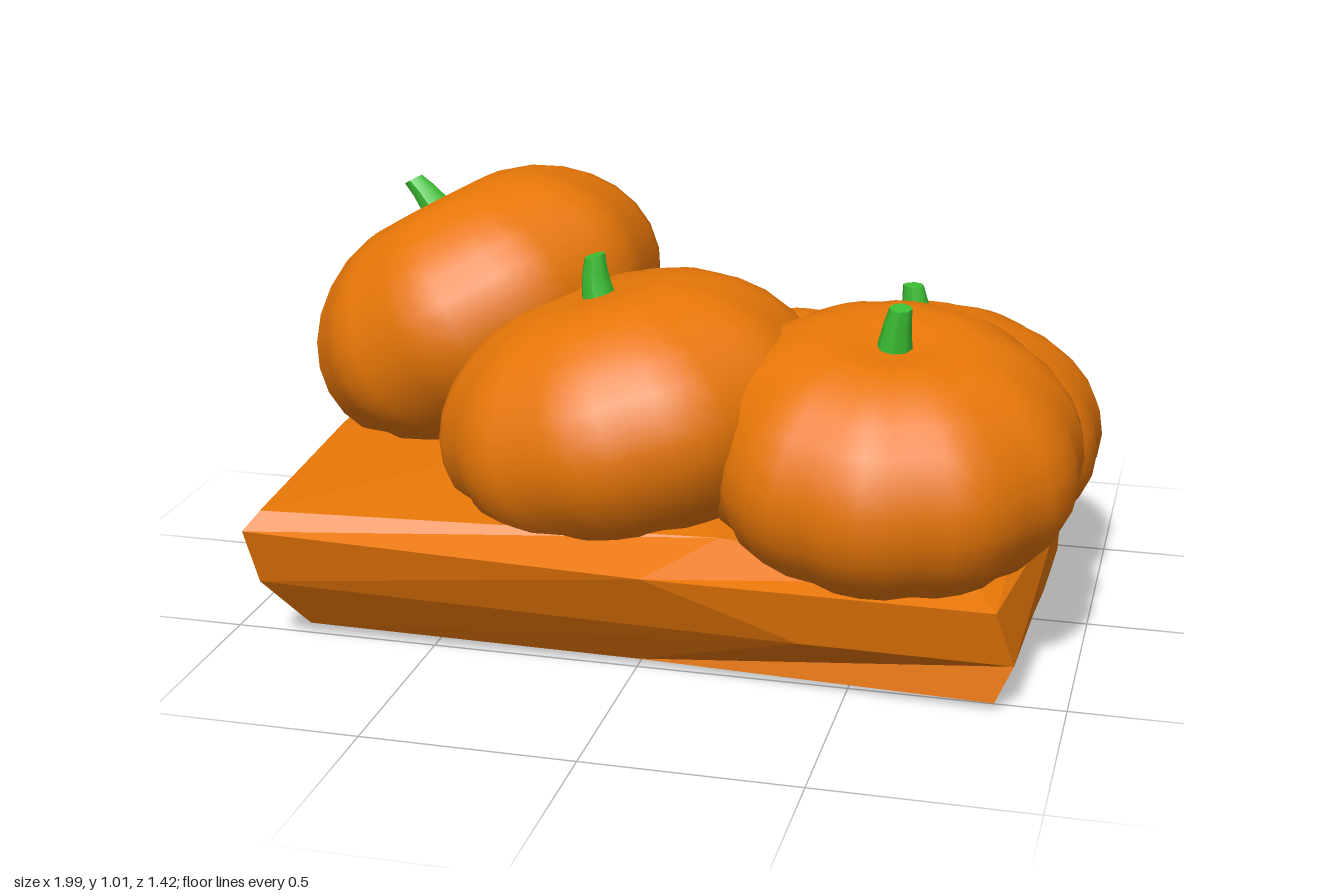
import * as THREE from 'three';
import { mergeVertices } from 'three/addons/utils/BufferGeometryUtils.js';

const pumpkinOrange = new THREE.MeshStandardMaterial({ color: 0xee7a08 });
pumpkinOrange.name = 'pumpkin orange';
const baleOrange = new THREE.MeshStandardMaterial({ color: 0xee7a08, flatShading: true });
baleOrange.name = 'bale orange';
const stemGreen = new THREE.MeshStandardMaterial({ color: 0x3cc034 });
stemGreen.name = 'stem green';

// Squashed sphere with ten lobes, a dimple at each pole and a narrower underside
function pumpkinGeometry(R, h, dimple) {
  let g = new THREE.SphereGeometry(1, 40, 16);
  g.deleteAttribute('uv');
  g.deleteAttribute('normal');
  const p = g.attributes.position;
  for (let i = 0; i < p.count; i++) {
    const x = p.getX(i), y = p.getY(i), z = p.getZ(i);
    const s = Math.hypot(x, z);
    const lobe = Math.sqrt(Math.abs(Math.sin(5 * Math.atan2(z, x))));
    const r = R * Math.pow(s, y > 0 ? 0.95 : 1.05) * (0.955 + 0.045 * lobe);
    const dip = dimple * Math.exp(-Math.pow(s / 0.28, 2)) * Math.sign(y);
    p.setXYZ(i, s < 1e-4 ? 0 : (x / s) * r, y * h - dip, s < 1e-4 ? 0 : (z / s) * r);
  }
  g = mergeVertices(g, 1e-4);
  g.computeVertexNormals();
  return g;
}

// Tapered, slightly bent stem standing on y = 0
function stemGeometry(length, bend) {
  const g = new THREE.CylinderGeometry(0.026, 0.044, length, 8, 3);
  g.translate(0, length / 2, 0);
  const p = g.attributes.position;
  for (let i = 0; i < p.count; i++) {
    p.setX(i, p.getX(i) + bend * Math.pow(p.getY(i) / length, 2));
  }
  g.computeVertexNormals();
  return g;
}

function makePumpkin({ name, at, R, h, dimple, tilt, stem, bend }) {
  const group = new THREE.Group();
  group.name = name;
  const body = new THREE.Mesh(pumpkinGeometry(R, h, dimple), pumpkinOrange);
  body.name = name + 'Body';
  const stalk = new THREE.Mesh(stemGeometry(stem, bend), stemGreen);
  stalk.name = name + 'Stem';
  stalk.position.y = h - dimple - 0.015;
  group.add(body, stalk);
  group.position.set(...at);
  group.rotation.set(tilt[0], 0, tilt[1]);
  return group;
}

// Rough block lofted through rings of eight points, starting at the front -x corner
function baleGeometry() {
  const rings = [
    [[-0.81, 0.03, 0.51], [0, 0.02, 0.5], [0.84, 0.02, 0.54], [0.88, 0.02, -0.13],
      [0.7, 0.05, -0.47], [0, 0.01, -0.38], [-0.8, 0.03, -0.47], [-0.81, 0, 0.05]],
    [[-0.89, 0.17, 0.61], [0.4, 0.14, 0.59], [0.88, 0.11, 0.53], [0.91, 0.14, -0.12],
      [0.78, 0.18, -0.51], [0.1, 0.15, -0.5], [-0.93, 0.14, -0.48], [-0.9, 0.15, 0.05]],
    [[-0.91, 0.31, 0.65], [0.05, 0.29, 0.66], [0.84, 0.25, 0.57], [0.92, 0.28, -0.05],
      [0.88, 0.35, -0.59], [-0.4, 0.3, -0.6], [-0.99, 0.26, -0.51], [-0.95, 0.3, 0.05]],
    [[-0.88, 0.35, 0.61], [0.2, 0.35, 0.52], [0.78, 0.28, 0.48], [0.84, 0.33, -0.02],
      [0.82, 0.33, -0.53], [-0.35, 0.37, -0.55], [-0.93, 0.36, -0.48], [-0.9, 0.37, 0.05]],
  ];
  const v = [];
  const tri = (...pts) => pts.forEach((q) => v.push(...q));
  for (let i = 0; i < 8; i++) {
    const j = (i + 1) % 8;
    for (let k = 0; k < rings.length - 1; k++) {
      const a = rings[k], b = rings[k + 1];
      tri(a[i], a[j], b[j]);
      tri(a[i], b[j], b[i]);
    }
    tri(rings[3][i], rings[3][j], [-0.2, 0.42, 0]);
    tri(rings[0][j], rings[0][i], [0, 0, 0.03]);
  }
  const g = new THREE.BufferGeometry();
  g.setAttribute('position', new THREE.Float32BufferAttribute(v, 3));
  g.computeVertexNormals();
  return g;
}

export function createModel() {
  const model = new THREE.Group();
  model.name = 'pumpkinPile';

  const bale = new THREE.Mesh(baleGeometry(), baleOrange);
  bale.name = 'bale';
  model.add(bale);

  // tilt = [towards +z, towards -x] in radians
  const pumpkins = [
    { name: 'tallPumpkin', at: [-0.565, 0.645, -0.165], R: 0.465, h: 0.33, dimple: 0.045, tilt: [-0.1, 0.52], stem: 0.11, bend: -0.02 },
    { name: 'middlePumpkin', at: [-0.09, 0.53, 0.2], R: 0.47, h: 0.32, dimple: 0.03, tilt: [0, 0.28], stem: 0.11, bend: 0.02 },
    { name: 'frontPumpkin', at: [0.545, 0.5, 0.26], R: 0.45, h: 0.32, dimple: 0.06, tilt: [0.15, -0.04], stem: 0.12, bend: 0.01 },
    { name: 'backPumpkin', at: [0.525, 0.385, -0.235], R: 0.475, h: 0.31, dimple: 0.03, tilt: [0, 0], stem: 0.11, bend: -0.01 },
  ];
  pumpkins.forEach((p) => model.add(makePumpkin(p)));

  // Swellings that fill the clefts between the three pumpkins on the +x side
  const joins = [
    { name: 'innerJoin', at: [0.28, 0.47, 0.03], size: [0.29, 0.28, 0.27] },
    { name: 'outerJoin', at: [0.68, 0.43, 0.01], size: [0.25, 0.25, 0.2] },
  ];
  for (const { name, at, size } of joins) {
    const join = new THREE.Mesh(new THREE.SphereGeometry(1, 24, 16), pumpkinOrange);
    join.name = name;
    join.scale.set(...size);
    join.position.set(...at);
    model.add(join);
  }
  return model;
}
